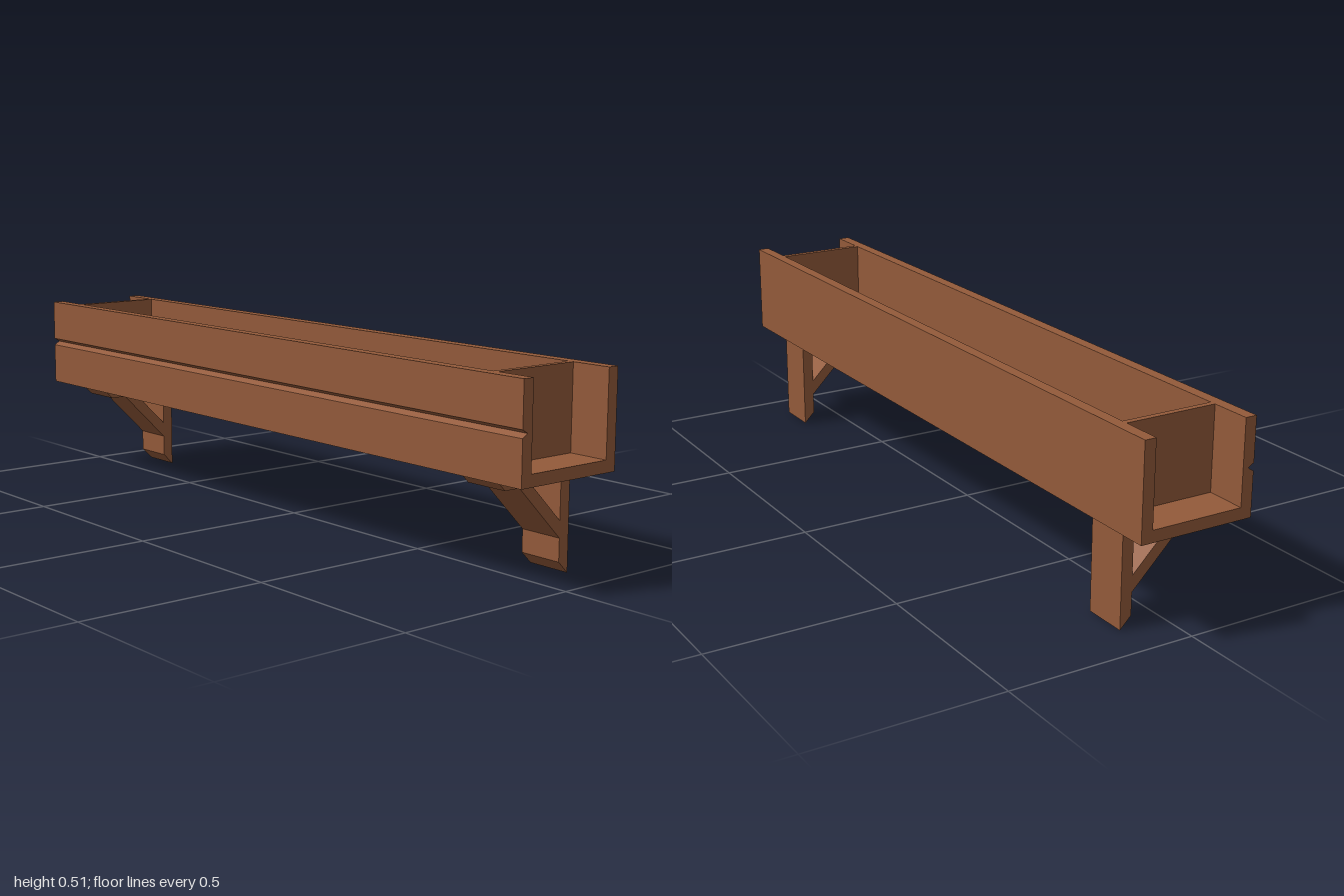
import * as THREE from 'three';

// Extrude a side profile of [z, y] points along x, between x0 and x0 + length
function extrudeAlongX(points, x0, length, hole) {
  const toVectors = (list) => list.map(([z, y]) => new THREE.Vector2(-z, y));
  const shape = new THREE.Shape(toVectors(points));
  if (hole) shape.holes.push(new THREE.Path(toVectors(hole)));
  const geometry = new THREE.ExtrudeGeometry(shape, { depth: length, bevelEnabled: false });
  return geometry.rotateY(Math.PI / 2).translate(x0, 0, 0);
}

export function createModel() {
  const group = new THREE.Group();
  const wood = new THREE.MeshStandardMaterial({ color: 0x935a3a });
  wood.name = 'brown wood';

  const add = (name, geometry) => {
    const mesh = new THREE.Mesh(geometry, wood);
    mesh.name = name;
    group.add(mesh);
  };

  const outer = 0.156, inner = 0.125;
  const bottom = 0.262, floor = 0.293, top = 0.511;

  // Floor and back board
  add('floorBoard', extrudeAlongX(
    [[inner, bottom], [inner, floor], [-inner, floor], [-inner, bottom]], -1, 2));
  add('backBoard', extrudeAlongX(
    [[-inner, bottom], [-inner, top], [-outer, top], [-outer, bottom]], -1, 2));

  // Front board with a V groove along its face
  add('frontBoard', extrudeAlongX([
    [outer, bottom], [outer, 0.377], [0.14, 0.387], [outer, 0.397],
    [outer, top], [inner, top], [inner, bottom],
  ], -1, 2));

  // Bracket profile: top rail, rear post and diagonal brace around a triangular opening
  const bracket = [
    [0.125, bottom], [0.094, 0.231], [0.047, 0.231], [-0.094, 0.09],
    [-0.094, 0.031], [-0.125, 0], [-0.125, bottom],
  ];
  const opening = [[0.004, 0.231], [-0.094, 0.231], [-0.094, 0.133]];

  for (const [side, s] of [['left', 1], ['right', -1]]) {
    // Inset end panel
    const panel = new THREE.BoxGeometry(0.016, top - floor, inner * 2);
    add(side + 'EndPanel', panel.translate(s * 0.883, (top + floor) / 2, 0));
    // Supporting bracket
    add(side + 'Bracket', extrudeAlongX(bracket, s * 0.831 - 0.06, 0.12, opening));
  }
  return group;
}
